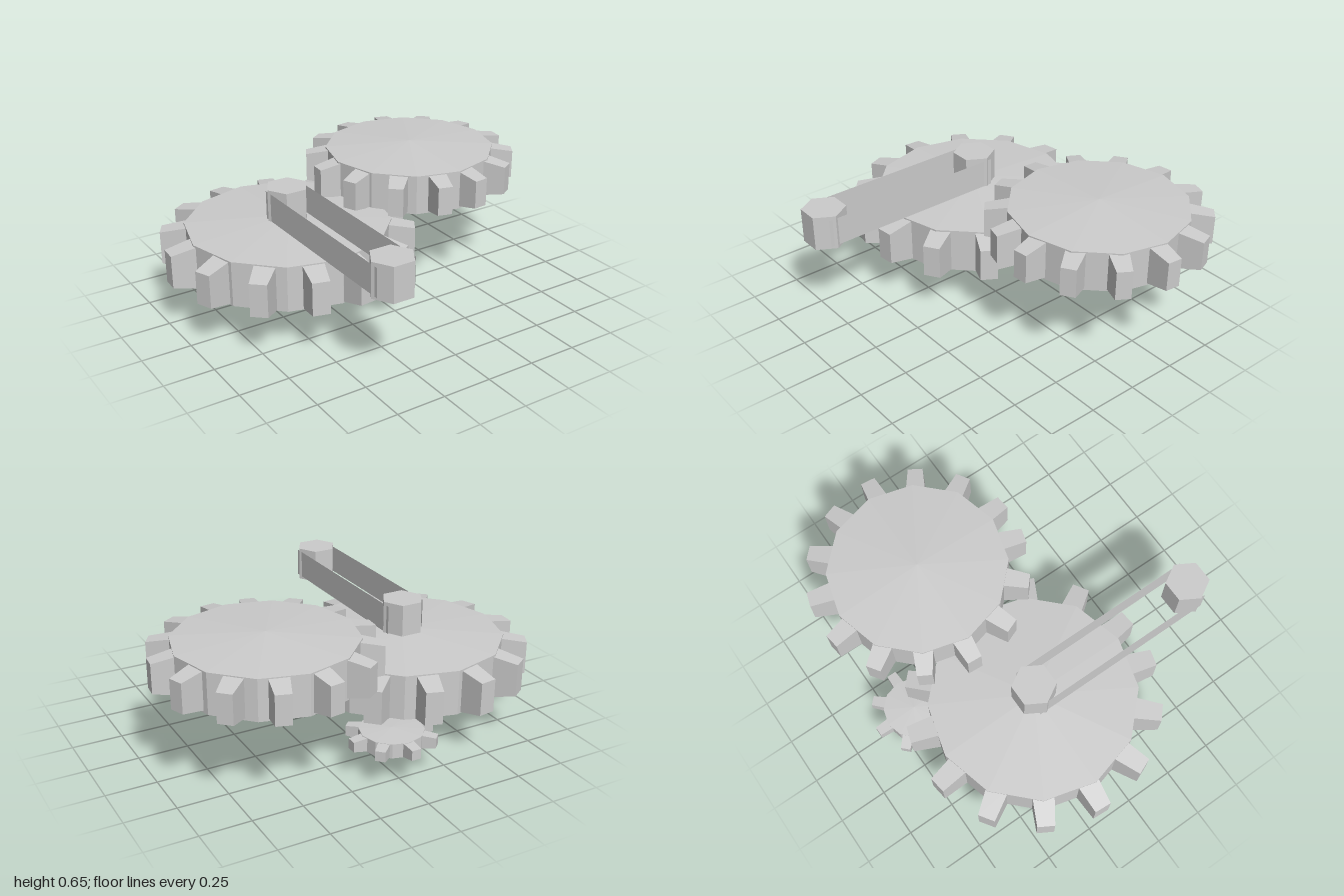
import * as THREE from 'three';

const mat = new THREE.MeshStandardMaterial({ color: 0xcccccc, flatShading: true });
const thinMat = new THREE.MeshStandardMaterial({ color: 0xcccccc, flatShading: true, side: THREE.DoubleSide });

function add(parent, name, geometry, x = 0, y = 0, z = 0, material = mat) {
  const mesh = new THREE.Mesh(geometry, material);
  mesh.name = name;
  mesh.position.set(x, y, z);
  parent.add(mesh);
  return mesh;
}

const lathe = (points, sides) =>
  new THREE.LatheGeometry(points.map(([r, y]) => new THREE.Vector2(r, y)), sides);

const ngon = (r, sides) => Array.from({ length: sides }, (_, i) => {
  const a = (i / sides) * Math.PI * 2;
  return new THREE.Vector2(Math.sin(a) * r, Math.cos(a) * r);
});

// Hexagonal post with corners on the x axis
function hexPost(rTop, rBottom, y0, y1) {
  const g = new THREE.CylinderGeometry(rTop, rBottom, y1 - y0, 6);
  g.rotateY(Math.PI / 6);
  g.translate(0, (y0 + y1) / 2, 0);
  return g;
}

// Tooth pointing along +z: a box narrowed in width and height at its outer end
function toothGeometry({ root, tip, rootW, tipW, rootY, tipY }) {
  const g = new THREE.BoxGeometry(1, 1, 1);
  const p = g.attributes.position;
  for (let i = 0; i < p.count; i++) {
    const outer = p.getZ(i) > 0;
    const [low, high] = outer ? tipY : rootY;
    p.setXYZ(i, p.getX(i) * (outer ? tipW : rootW), p.getY(i) > 0 ? high : low, outer ? tip : root);
  }
  g.computeVertexNormals();
  return g;
}

function makeGear(name, x, z, profile, tooth, count, start, step) {
  const gear = new THREE.Group();
  gear.name = name;
  gear.position.set(x, 0, z);
  add(gear, 'gearBody', lathe(profile, 12));
  const g = toothGeometry(tooth);
  for (let i = 0; i < count; i++) {
    add(gear, 'gearTooth', g).rotation.y = THREE.MathUtils.degToRad(start + i * step);
  }
  return gear;
}

export function createModel() {
  const model = new THREE.Group();
  model.name = 'gearTrain';

  // Main gear with a shallow cone above and below
  const main = makeGear('mainGear', -0.37, -0.157,
    [[0, 0.18], [0.515, 0.205], [0.515, 0.435], [0, 0.465]],
    { root: 0.46, tip: 0.63, rootW: 0.11, tipW: 0.085, rootY: [0.2, 0.435], tipY: [0.237, 0.405] },
    14, 6.2, 26);
  model.add(main);
  add(main, 'taperedShaft', hexPost(0.108, 0.07, 0, 0.2));

  // Upper gear, open underneath around an octagonal recess
  const upper = makeGear('upperGear', 0.445, -0.277,
    [[0.447, 0.423], [0.447, 0.628], [0, 0.655]],
    { root: 0.4, tip: 0.55, rootW: 0.1, tipW: 0.075, rootY: [0.427, 0.628], tipY: [0.455, 0.602] },
    14, 6.2, 26);
  model.add(upper);
  const underside = new THREE.Shape(ngon(0.447, 12));
  underside.holes.push(new THREE.Path(ngon(0.2, 8)));
  const undersideGeo = new THREE.ShapeGeometry(underside);
  undersideGeo.rotateX(Math.PI / 2);
  add(upper, 'gearUnderside', undersideGeo, 0, 0.423, 0);
  add(upper, 'axleRecess', lathe([[0, 0.54], [0.2, 0.51], [0.2, 0.423]], 8));

  // Small pinion below the main gear
  model.add(makeGear('pinion', -0.02, -0.643,
    [[0, 0.125], [0.155, 0.134], [0.155, 0.206], [0, 0.214]],
    { root: 0.13, tip: 0.216, rootW: 0.058, tipW: 0.048, rootY: [0.134, 0.206], tipY: [0.148, 0.198] },
    8, 0, 45));

  // Crank: two hexagonal posts joined by a pair of thin upright plates
  const crank = new THREE.Group();
  crank.name = 'crank';
  crank.position.x = -0.37;
  model.add(crank);
  add(crank, 'crankHub', hexPost(0.108, 0.108, 0.42, 0.622), 0, 0, -0.157);
  add(crank, 'crankHandle', hexPost(0.108, 0.108, 0.445, 0.622), 0, 0, 0.757);
  const plate = new THREE.PlaneGeometry(0.98, 0.145);
  plate.rotateY(Math.PI / 2);
  for (const side of [-1, 1]) add(crank, 'crankArmPlate', plate, side * 0.1, 0.532, 0.3, thinMat);

  return model;
}
